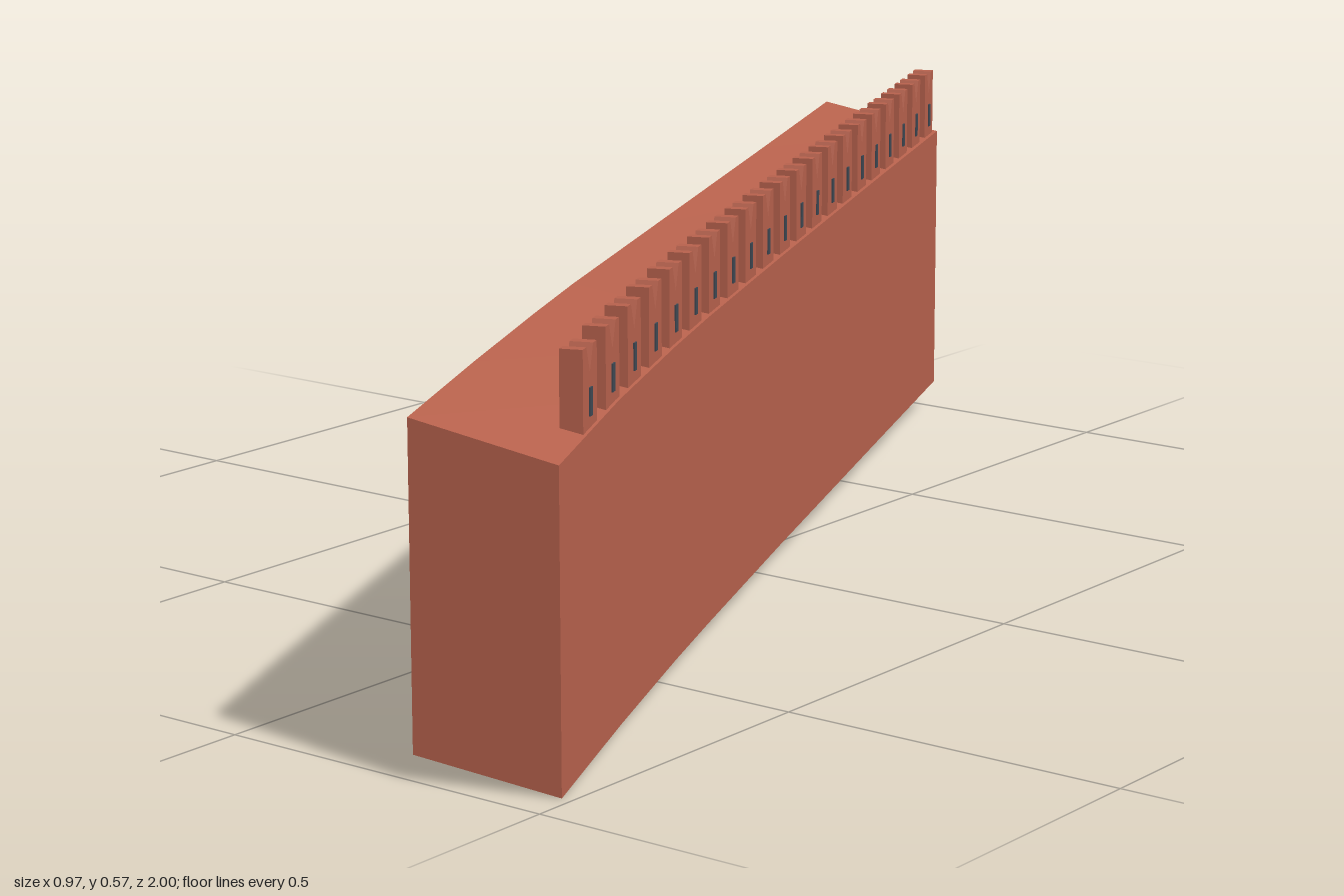
import * as THREE from 'three';

const brick = new THREE.MeshStandardMaterial({ color: 0xb8624d, side: THREE.DoubleSide });
brick.name = 'brick red';
const slate = new THREE.MeshStandardMaterial({ color: 0x3f4a55 });
slate.name = 'slate grey';

// Cross-sections from back to front: [fraction, left bottom, right bottom, left top, right top]
const stations = [
  [0, 0.080, 0.043, 0.507, 0.468],
  [0.2, 0.074, 0.040, 0.500, 0.465],
  [0.49, 0.066, 0.035, 0.491, 0.459],
  [0.68, 0.060, 0.029, 0.485, 0.453],
  [0.76, 0.055, 0.025, 0.480, 0.448],
  [0.88, 0.046, 0.015, 0.470, 0.436],
  [1, 0.034, 0, 0.457, 0.414],
];
const leftBack = new THREE.Vector2(-0.485, -0.94), leftFront = new THREE.Vector2(0.3, 1);
const rightBack = new THREE.Vector2(-0.303, -1), rightFront = new THREE.Vector2(0.485, 0.94);

// Ground-following wall, open underneath
function wallGeometry() {
  const pos = [];
  const quad = (a, b, c, d) => [a, b, c, a, c, d].forEach(p => pos.push(...p));
  const rings = stations.map(([s, lb, rb, lt, rt]) => {
    const l = leftBack.clone().lerp(leftFront, s);
    const r = rightBack.clone().lerp(rightFront, s);
    return { lb: [l.x, lb, l.y], rb: [r.x, rb, r.y], lt: [l.x, lt, l.y], rt: [r.x, rt, r.y] };
  });
  for (let i = 0; i < rings.length - 1; i++) {
    const b = rings[i], f = rings[i + 1];
    quad(f.rb, b.rb, b.rt, f.rt); // right face
    quad(f.lt, f.rt, b.rt, b.lt); // walkway
    quad(b.lb, f.lb, f.lt, b.lt); // left face
  }
  const back = rings[0], front = rings[rings.length - 1];
  quad(front.lb, front.rb, front.rt, front.lt);
  quad(back.rb, back.lb, back.lt, back.rt);
  const g = new THREE.BufferGeometry();
  g.setAttribute('position', new THREE.Float32BufferAttribute(pos, 3));
  g.computeVertexNormals();
  return g;
}

// Height of the wall's right top edge at fraction s
function edgeTop(s) {
  const i = Math.max(1, stations.findIndex(r => r[0] >= s));
  const a = stations[i - 1], b = stations[i];
  return THREE.MathUtils.mapLinear(s, a[0], b[0], a[4], b[4]);
}

export function createModel() {
  const model = new THREE.Group();
  model.name = 'battlementWall';
  const wall = new THREE.Mesh(wallGeometry(), brick);
  wall.name = 'wall';
  model.add(wall);

  // Swallowtail merlon, standing on the wall edge
  const half = 0.029, thick = 0.03, height = 0.104;
  const outline = new THREE.Shape([
    [-half, -0.012], [half, -0.012], [half, height], [0.014, height],
    [0, height - 0.034], [-0.014, height], [-half, height],
  ].map(p => new THREE.Vector2(...p)));
  const merlonGeo = new THREE.ExtrudeGeometry(outline, { depth: thick, bevelEnabled: false });
  merlonGeo.translate(0, 0, -thick / 2);
  const slitGeo = new THREE.BoxGeometry(0.01, 0.036, thick + 0.004);

  const count = 21;
  const angle = -Math.atan2(1.94, 0.788);
  for (let i = 0; i < count; i++) {
    const t = i / (count - 1);
    const z = THREE.MathUtils.lerp(-0.952, 0.8175, t);
    const merlon = new THREE.Group();
    merlon.name = 'merlon';
    const body = new THREE.Mesh(merlonGeo, brick);
    body.name = 'merlonBody';
    const slit = new THREE.Mesh(slitGeo, slate);
    slit.name = 'arrowSlit';
    slit.position.y = height - 0.07;
    merlon.add(body, slit);
    merlon.position.set(THREE.MathUtils.lerp(-0.305, 0.415, t), edgeTop((z + 1) / 1.94), z);
    merlon.rotation.y = angle;
    model.add(merlon);
  }
  return model;
}
